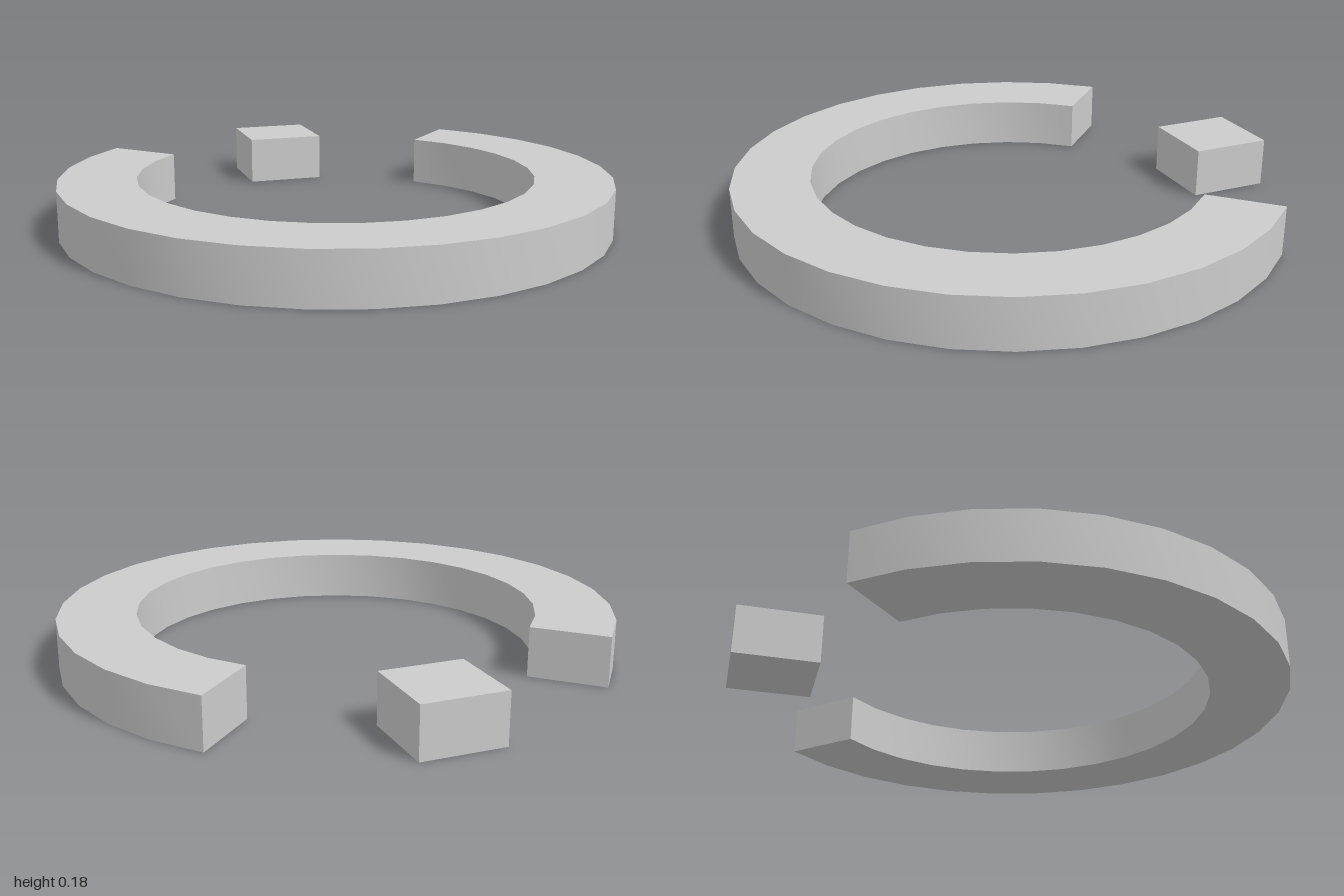
import * as THREE from 'three';
import { toCreasedNormals } from 'three/addons/utils/BufferGeometryUtils.js';

const HEIGHT = 0.18;
const OUTER = 1;
const INNER = 0.72;

export function createModel() {
  const model = new THREE.Group();
  const material = new THREE.MeshStandardMaterial({ color: 0xcccccc });

  // Three-quarter ring, open at the back right quarter
  const start = Math.PI;
  const end = Math.PI * 2.5;
  const outline = new THREE.Shape();
  outline.absarc(0, 0, OUTER, start, end, false);
  outline.absarc(0, 0, INNER, end, start, true);
  outline.closePath();
  const ringGeometry = new THREE.ExtrudeGeometry(outline, {
    depth: HEIGHT, bevelEnabled: false, curveSegments: 12,
  });
  ringGeometry.rotateX(-Math.PI / 2);
  const ring = new THREE.Mesh(toCreasedNormals(ringGeometry, 0.6), material);
  ring.name = 'openRing';
  model.add(ring);

  // Square block turned 45 degrees, set in the gap
  const side = 0.21 * Math.SQRT2;
  const block = new THREE.Mesh(new THREE.BoxGeometry(side, HEIGHT, side), material);
  block.name = 'diamondBlock';
  block.position.set(-0.605, HEIGHT / 2, -0.61);
  block.rotation.y = Math.PI / 4;
  model.add(block);

  return model;
}
